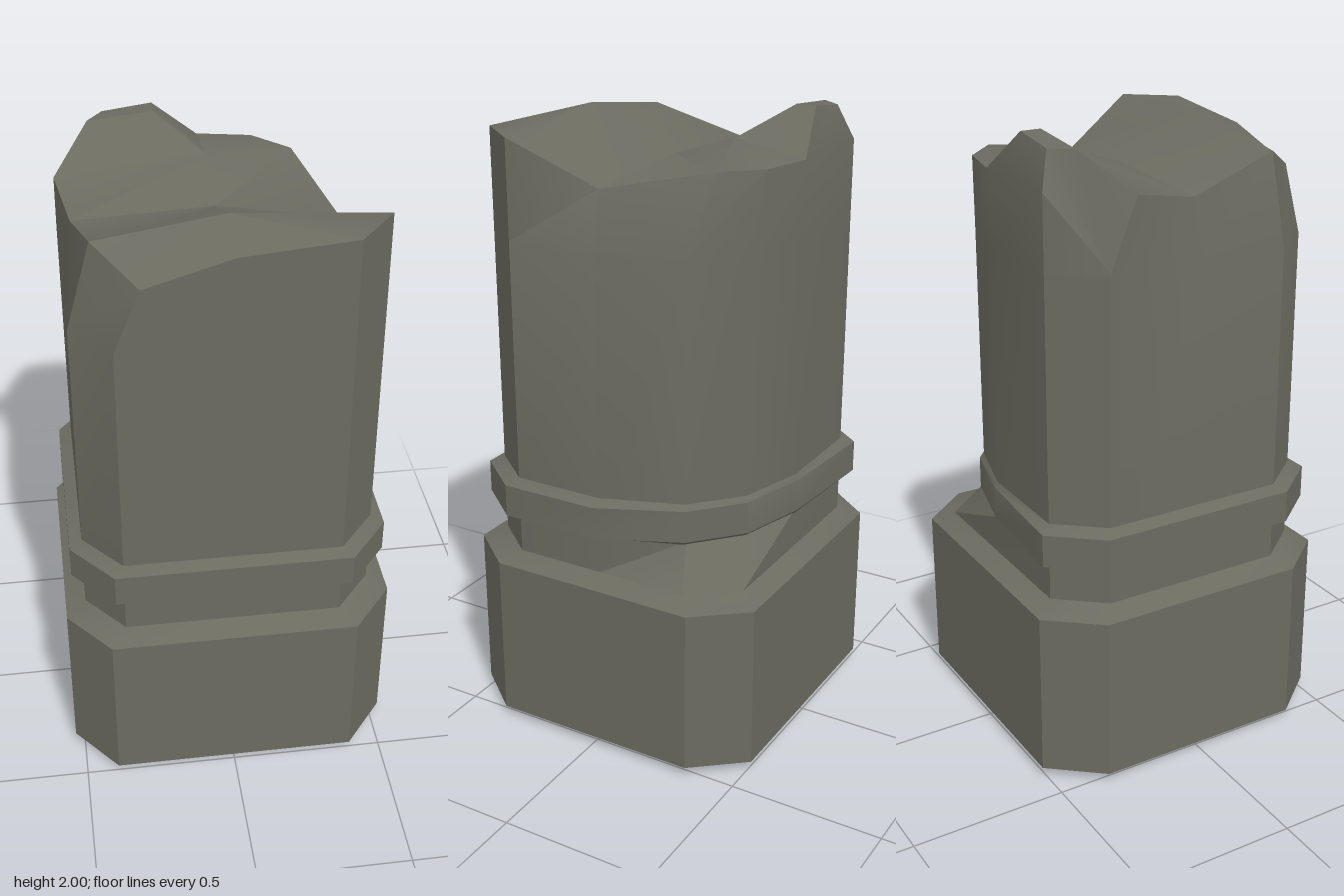
import * as THREE from 'three';
import { toCreasedNormals } from 'three/addons/utils/BufferGeometryUtils.js';

const stone = new THREE.MeshStandardMaterial({ color: 0x6b6b60 });
stone.name = 'weathered stone';

// Chamfered-rectangle outline, running from the front centre round to the right, back and left.
function outline(x, z, cx, cz) {
  return [
    [0, z], [cx, z], [x, cz], [x, 0], [x, -cz], [cx, -z], [0, -z],
    [-cx, -z], [-x, -cz], [-x, -0.21], [-x, 0], [-x, cz], [-cx, z],
  ];
}

// Replace some outline points, used for the chipped back corner.
function chip(points, changes) {
  return points.map((p, i) => changes[i] || p);
}

const at = (points, y) => points.map(([x, z]) => [x, y, z]);

// Skin between successive loops, plus optional extra faces given as lists of corners.
function loft(name, loops, faces = []) {
  const pos = [];
  const face = (...c) => {
    for (let i = 1; i < c.length - 1; i++) pos.push(...c[0], ...c[i], ...c[i + 1]);
  };
  for (let l = 0; l < loops.length - 1; l++) {
    const a = loops[l], b = loops[l + 1], n = a.length;
    for (let i = 0; i < n; i++) {
      const j = (i + 1) % n;
      face(a[i], a[j], b[j], b[i]);
    }
  }
  faces.forEach((f) => face(...f));
  const geometry = new THREE.BufferGeometry();
  geometry.setAttribute('position', new THREE.Float32BufferAttribute(pos, 3));
  const mesh = new THREE.Mesh(toCreasedNormals(geometry, 0.6), stone);
  mesh.name = name;
  return mesh;
}

export function createModel() {
  const group = new THREE.Group();
  group.name = 'brokenPillar';

  const core = outline(0.465, 0.445, 0.345, 0.3);
  const chipped = chip(core, { 4: [0.37, -0.255], 5: [0.22, -0.385] });
  const block = outline(0.53, 0.51, 0.395, 0.345);
  const band = chip(outline(0.505, 0.483, 0.375, 0.325), {
    4: [0.385, -0.262], 5: [0.228, -0.397], 6: [0, -0.456],
  });

  // Base block with bevelled top and bottom
  const foot = at(core, 0);
  group.add(loft('base',
    [foot, at(block, 0.03), at(block, 0.57), at(core, 0.6)],
    [[...foot].reverse()]));

  // Band around the shaft
  group.add(loft('band',
    [at(chipped, 0.72), at(band, 0.735), at(band, 0.84), at(chipped, 0.857)]));

  // Broken rim of the shaft, same order as the outline
  const r = [
    [0, 1.91, 0.445], [0.345, 1.94, 0.445], [0.465, 1.94, 0.3], [0.37, 1.8, 0.04],
    [0.28, 1.87, -0.3], [0.17, 1.87, -0.41], [0, 1.87, -0.445], [-0.345, 1.87, -0.445],
    [-0.465, 1.65, -0.3], [-0.465, 1.86, -0.21], [-0.43, 1.82, 0],
    [-0.39, 1.91, 0.3], [-0.265, 1.83, 0.445],
  ];
  // Ridge, hollow, rear rise and the flat-topped peak at the back
  const ridge = [0, 1.97, 0.3], hollow = [0, 1.84, 0], rise = [0, 1.91, -0.21];
  const p1 = [-0.35, 1.98, -0.34], p2 = [-0.145, 2, -0.34];
  const p3 = [-0.145, 2, -0.405], p4 = [-0.3, 1.98, -0.405];
  const brokenTop = [
    [r[0], r[1], ridge], [r[1], r[2], ridge], [r[12], r[0], ridge, r[11]],
    [ridge, r[2], r[3]], [ridge, r[3], hollow], [r[11], ridge, hollow, r[10]],
    [r[10], hollow, rise, r[9]], [hollow, r[3], r[4], rise],
    [rise, r[4], r[5]], [rise, r[5], r[6]],
    [r[9], rise, p2, p1], [rise, r[6], p3, p2], [r[6], r[7], p4, p3],
    [r[7], r[8], p4], [r[8], r[9], p1, p4], [p1, p2, p3, p4],
  ];
  group.add(loft('shaft',
    [at(core, 0.6), at(chipped, 0.73), at(chipped, 1.63), r], brokenTop));

  return group;
}
